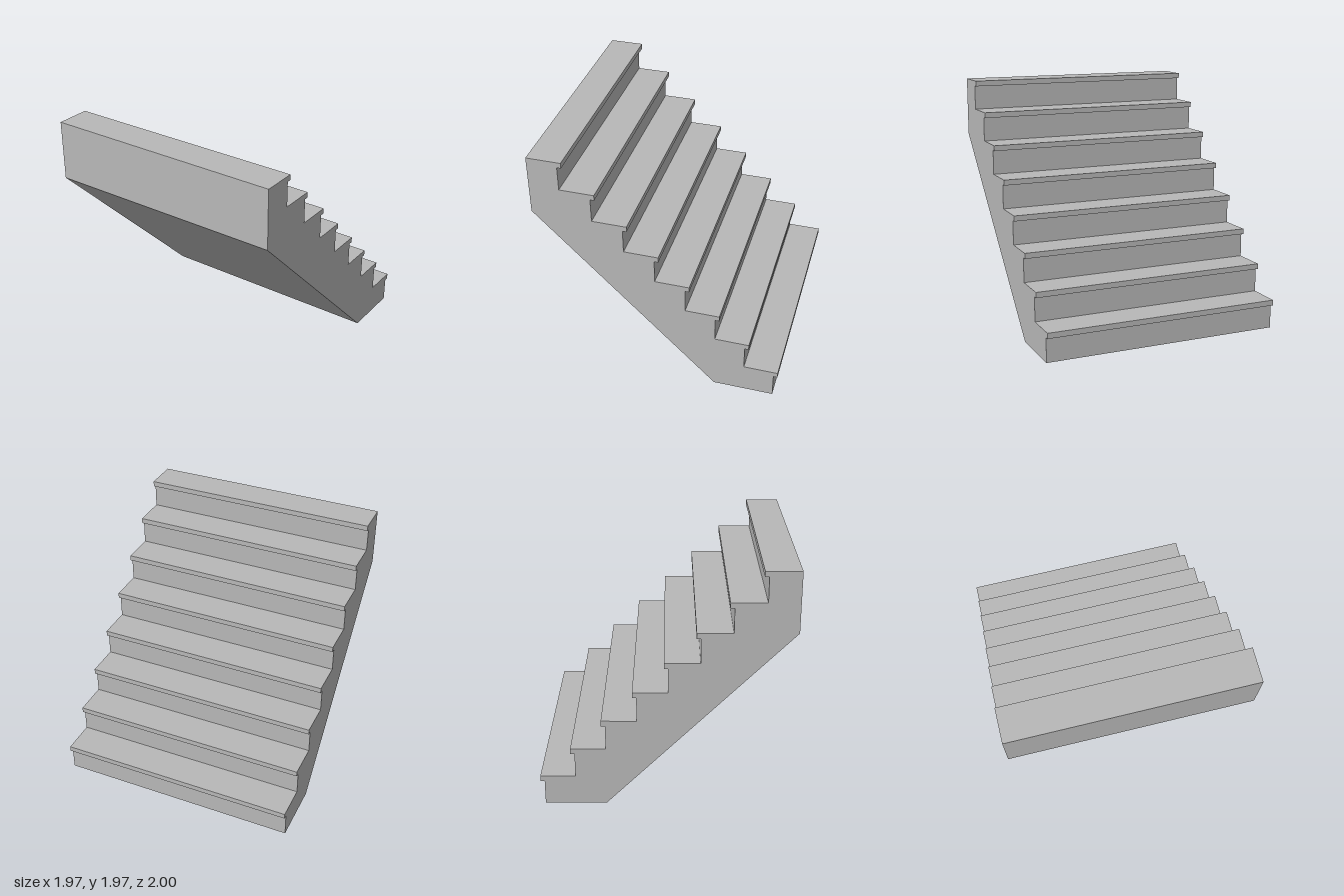
import * as THREE from 'three';

const STEPS = 8;
const RISE = 0.246;      // rise and run of each step
const NOSE = 0.033;      // tread overhang
const LIP = 0.045;       // tread thickness
const WIDTH = 1.97;
const HEIGHT = STEPS * RISE;

export function createModel() {
  const group = new THREE.Group();
  group.name = 'staircase';

  const concrete = new THREE.MeshStandardMaterial({ color: 0xb8b8b8 });
  concrete.name = 'concrete grey';

  // Side profile: x runs from the low step (-1) to the tall end (+1)
  const profile = new THREE.Shape();
  profile.moveTo(-0.475, 0);
  profile.lineTo(1, 1.478);
  profile.lineTo(1, HEIGHT);
  for (let i = STEPS - 1; i >= 0; i--) {
    const nose = -1 + i * RISE;
    const top = (i + 1) * RISE;
    profile.lineTo(nose, top);
    profile.lineTo(nose, top - LIP);
    profile.lineTo(nose + NOSE, top - LIP);
    profile.lineTo(nose + NOSE, i * RISE);
  }
  profile.closePath();

  // Sweep the profile across the width, tall end facing +z
  const geometry = new THREE.ExtrudeGeometry(profile, { depth: WIDTH, bevelEnabled: false });
  geometry.translate(0, 0, -WIDTH / 2);
  geometry.rotateY(-Math.PI / 2);

  const flight = new THREE.Mesh(geometry, concrete);
  flight.name = 'stairFlight';
  group.add(flight);
  return group;
}
